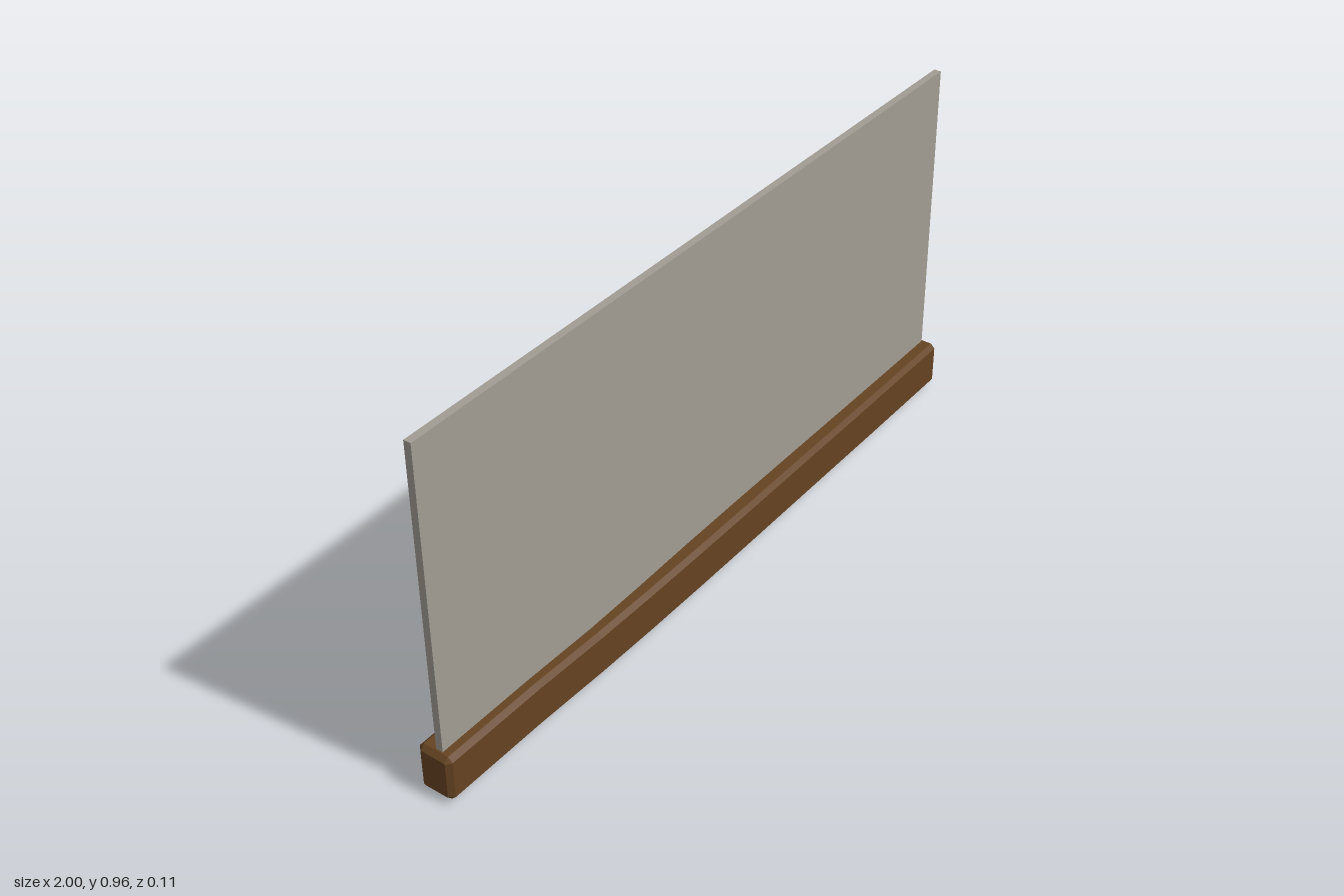
import * as THREE from 'three';

const wood = new THREE.MeshStandardMaterial({ color: 0x654321 });
wood.name = 'dark wood';
const stone = new THREE.MeshStandardMaterial({ color: 0xa19d93 });
stone.name = 'warm grey panel';

const HALF_HEIGHT = 0.063, HALF_DEPTH = 0.047, BEVEL = 0.012;

// Hand-hewn sway of the beam: [x, centre y, centre z]
const STATIONS = [
  [-0.988, 0.0765, -0.007], [-0.7, 0.0735, -0.006], [-0.48, 0.0665, -0.004],
  [-0.3, 0.068, 0], [-0.1, 0.0725, 0.004], [0.1, 0.0745, 0.005],
  [0.35, 0.075, 0.004], [0.68, 0.0755, 0.003], [0.988, 0.0775, 0.002],
];

// Bevelled rectangle as eight [y, z] corners around the x axis
function section(cy, cz, inset) {
  const h = HALF_HEIGHT - inset, d = HALF_DEPTH - inset, b = inset ? 0.003 : BEVEL;
  return [
    [h, d - b], [h - b, d], [-h + b, d], [-h, d - b],
    [-h, -d + b], [-h + b, -d], [h - b, -d], [h, -d + b],
  ].map(([y, z]) => [cy + y, cz + z]);
}

// Lofts the beam through its sections, with chamfered ends
function beamGeometry() {
  const first = STATIONS[0], last = STATIONS[STATIONS.length - 1];
  const rings = [
    [-1, first[1], first[2], BEVEL],
    ...STATIONS.map((s) => [...s, 0]),
    [1, last[1], last[2], BEVEL],
  ].map(([x, cy, cz, inset]) => section(cy, cz, inset).map(([y, z]) => [x, y, z]));
  const points = [];
  const tri = (a, b, c) => points.push(...a, ...b, ...c);
  for (let i = 0; i < rings.length - 1; i++) {
    for (let j = 0; j < 8; j++) {
      const k = (j + 1) % 8;
      const a = rings[i][j], b = rings[i][k], c = rings[i + 1][k], d = rings[i + 1][j];
      tri(a, b, c);
      tri(a, c, d);
    }
  }
  // End caps
  const start = rings[0], end = rings[rings.length - 1];
  for (let j = 1; j < 7; j++) {
    tri(start[0], start[j + 1], start[j]);
    tri(end[0], end[j], end[j + 1]);
  }
  const geometry = new THREE.BufferGeometry();
  geometry.setAttribute('position', new THREE.Float32BufferAttribute(points, 3));
  geometry.computeVertexNormals();
  return geometry;
}

export function createModel() {
  const group = new THREE.Group();
  group.name = 'panelOnBeam';

  const beam = new THREE.Mesh(beamGeometry(), wood);
  beam.name = 'beam';
  group.add(beam);

  // Thin upright panel, running down through the beam
  const bottom = 0.0125, top = 0.962;
  const panel = new THREE.Mesh(new THREE.BoxGeometry(1.968, top - bottom, 0.019), stone);
  panel.name = 'panel';
  panel.position.y = (top + bottom) / 2;
  group.add(panel);

  return group;
}
